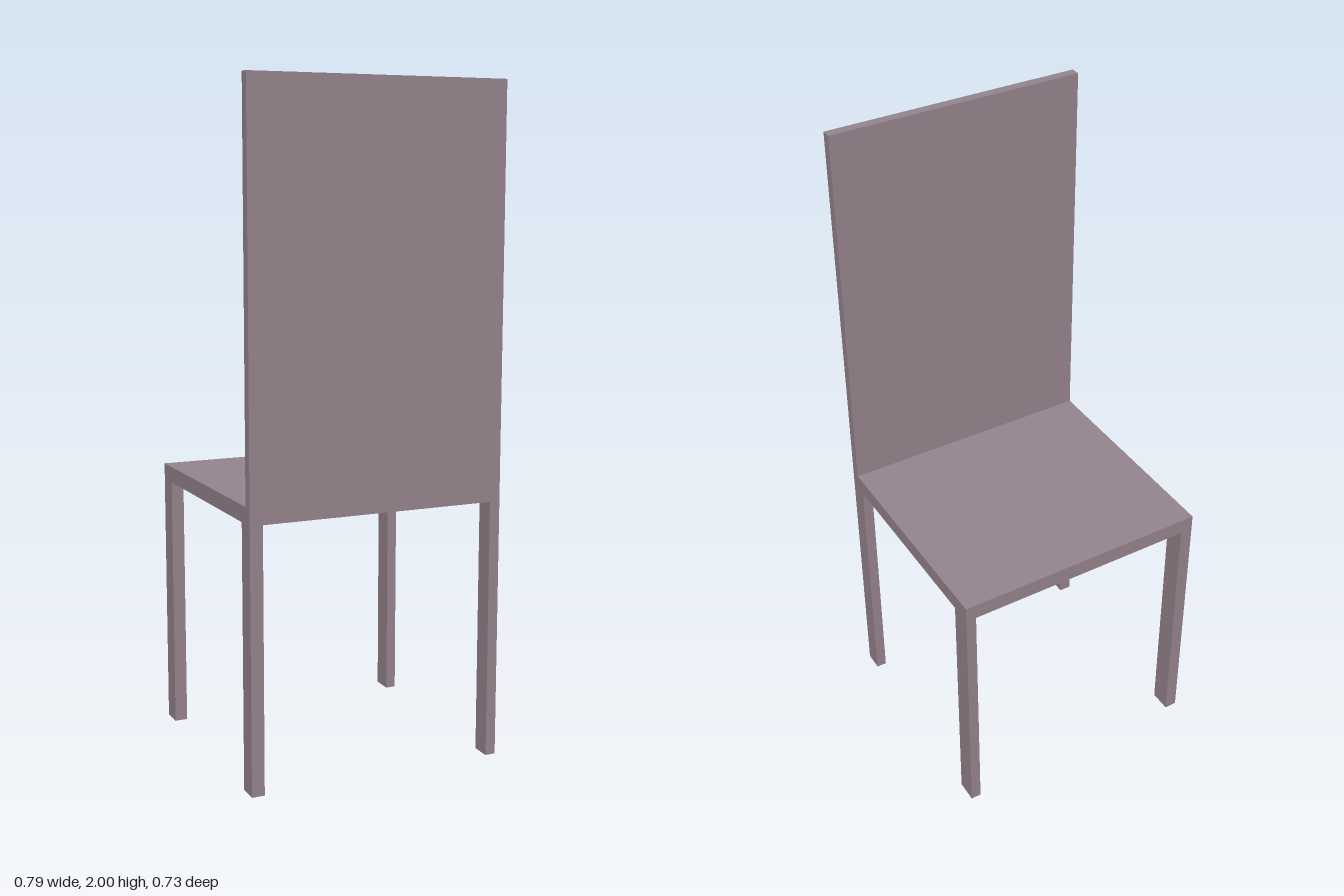
import * as THREE from 'three';

const material = new THREE.MeshStandardMaterial({ color: 0x96848e, flatShading: true });

// Box given by its lower and upper corners
function addBox(parent, name, [x0, y0, z0], [x1, y1, z1]) {
  const mesh = new THREE.Mesh(new THREE.BoxGeometry(x1 - x0, y1 - y0, z1 - z0), material);
  mesh.position.set((x0 + x1) / 2, (y0 + y1) / 2, (z0 + z1) / 2);
  mesh.name = name;
  parent.add(mesh);
}

export function createModel() {
  const chair = new THREE.Group();
  chair.name = 'chair';
  const halfWidth = 0.396, halfDepth = 0.365;
  const seatBottom = 0.783, seatTop = 0.832;

  // Seat slab and tall thin back panel, flush along the +z edge
  addBox(chair, 'seat', [-halfWidth, seatBottom, -halfDepth], [halfWidth, seatTop, halfDepth]);
  addBox(chair, 'backrest', [-halfWidth, seatTop, 0.335], [halfWidth, 2, halfDepth]);

  // Four corner legs; the -x pair is slightly wider
  const sides = [['right', -halfWidth, -0.357], ['left', 0.364, halfWidth]];
  const ends = [['Front', 0.305, halfDepth], ['Rear', -halfDepth, -0.298]];
  for (const [side, x0, x1] of sides) {
    for (const [end, z0, z1] of ends) {
      addBox(chair, `${side}${end}Leg`, [x0, 0, z0], [x1, seatBottom, z1]);
    }
  }
  return chair;
}
